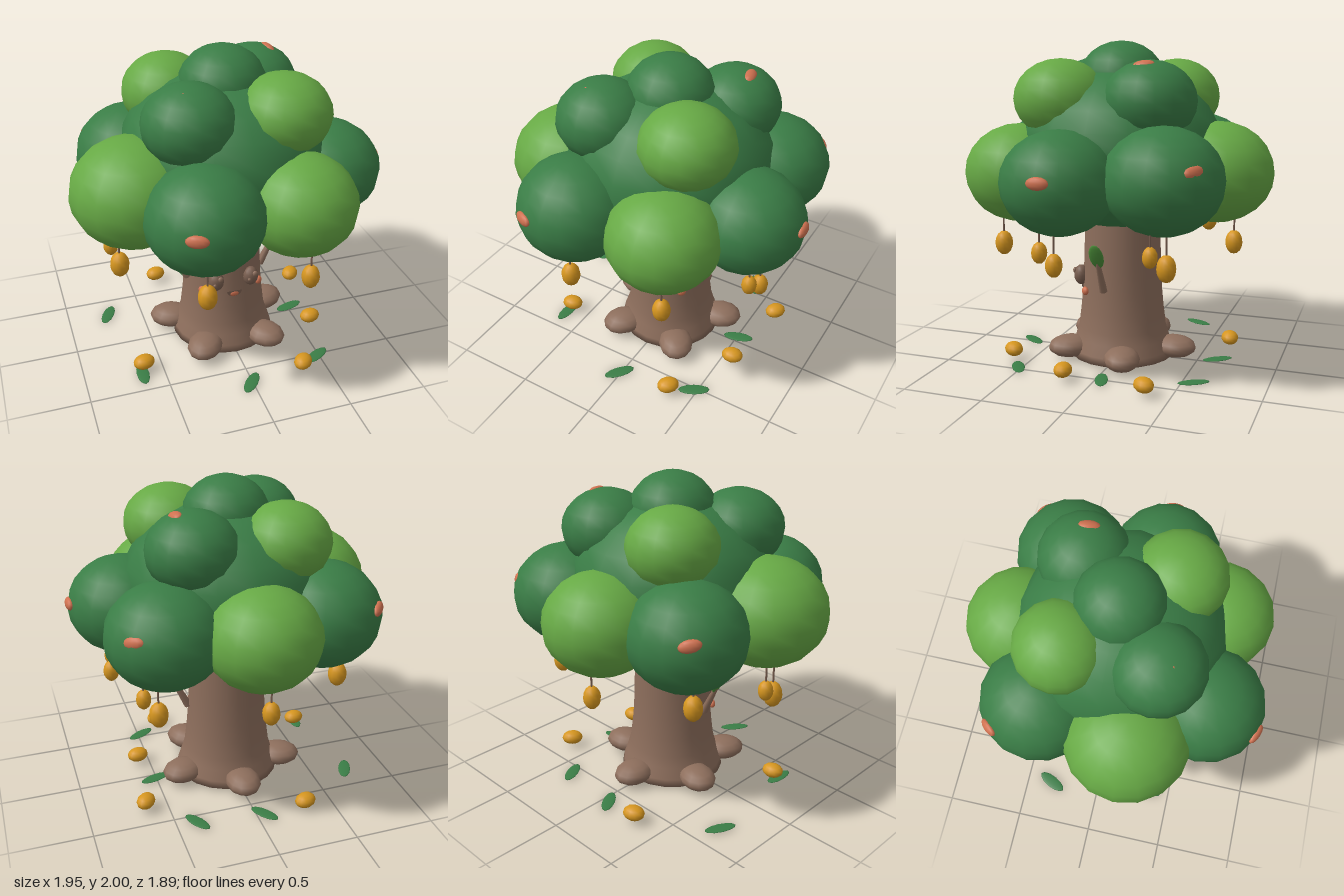
import * as THREE from 'three';

const paint = (name, color) => {
  const m = new THREE.MeshStandardMaterial({ color });
  m.name = name;
  return m;
};

export function createModel() {
  const tree = new THREE.Group();
  tree.name = 'tree';

  const bark = paint('bark brown', 0x8d6e5c);
  const darkBark = paint('dark bark', 0x7a5f50);
  const darkGreen = paint('dark foliage green', 0x3a7d46);
  const lightGreen = paint('light foliage green', 0x67a945);
  const leafGreen = paint('leaf green', 0x4c8f3a);
  const gold = paint('fruit gold', 0xd6961f);
  const coral = paint('coral', 0xcf7150);

  const blobGeo = new THREE.SphereGeometry(1, 16, 12);
  const smallGeo = new THREE.SphereGeometry(1, 12, 8);

  const add = (name, geo, mat, pos = [0, 0, 0], parent = tree) => {
    const mesh = new THREE.Mesh(geo, mat);
    mesh.name = name;
    mesh.position.set(...pos);
    parent.add(mesh);
    return mesh;
  };
  const ellipsoid = (name, mat, pos, size, geo = smallGeo, parent = tree) => {
    const mesh = add(name, geo, mat, pos, parent);
    mesh.scale.set(...size);
    return mesh;
  };
  // tapered rod between two points
  const rod = (name, mat, from, to, r0, r1) => {
    const a = new THREE.Vector3(...from), b = new THREE.Vector3(...to);
    const d = b.clone().sub(a);
    const mesh = add(name, new THREE.CylinderGeometry(r1, r0, d.length(), 8), mat,
      a.clone().add(b).multiplyScalar(0.5).toArray());
    mesh.quaternion.setFromUnitVectors(new THREE.Vector3(0, 1, 0), d.normalize());
    return mesh;
  };

  // trunk with flared foot
  const profile = [[0, 0.015], [0.335, 0.015], [0.325, 0.06], [0.3, 0.13], [0.28, 0.2],
    [0.265, 0.32], [0.253, 0.45], [0.247, 0.6], [0.242, 0.75], [0.238, 0.9], [0.235, 1.0]];
  const trunkGeo = new THREE.LatheGeometry(profile.map(p => new THREE.Vector2(...p)), 20);
  add('trunk', trunkGeo, bark);

  // five root knuckles
  for (let i = 0; i < 5; i++) {
    const a = THREE.MathUtils.degToRad(54 + 72 * i);
    const root = ellipsoid('root', bark, [0.35 * Math.cos(a), 0.08, 0.35 * Math.sin(a)], [0.14, 0.07, 0.112]);
    root.rotation.y = -a;
  }

  // face, mirrored
  for (const s of [-1, 1]) {
    ellipsoid('eye', darkBark, [s * 0.115, 0.53, 0.24], [0.05, 0.065, 0.045]);
    ellipsoid('eyeGlint', bark, [s * 0.115 + 0.018, 0.56, 0.275], [0.018, 0.02, 0.012]);
    ellipsoid('eyeSpot', bark, [s * 0.115 - 0.02, 0.525, 0.277], [0.011, 0.012, 0.01]);
    const cheek = ellipsoid('cheek', coral, [s * 0.19, 0.445, 0.185], [0.029, 0.027, 0.02]);
    cheek.rotation.y = s * 0.8;
  }
  const mouthGeo = new THREE.CylinderGeometry(0.05, 0.05, 0.008, 18, 1, false, -Math.PI / 2, Math.PI);
  mouthGeo.rotateX(Math.PI / 2);
  const mouth = ellipsoid('mouth', darkBark, [0, 0.45, 0.26], [1, 0.8, 1], mouthGeo);
  ellipsoid('tongue', coral, [0, 0.427, 0.262], [0.031, 0.017, 0.007]);
  mouth.updateMatrix();

  // side twigs, each with one leaf
  for (const s of [-1, 1]) {
    rod('twig', bark, [s * 0.25, 0.475, 0.04], [s * 0.35, 0.68, 0.04], 0.026, 0.015);
    const leaf = ellipsoid('twigLeaf', leafGreen, [s * 0.372, 0.72, 0.04], [0.014, 0.088, 0.047]);
    leaf.rotation.z = -s * 0.45;
  }

  // canopy: x, y, z, horizontal radius, vertical radius, material
  const canopy = [
    ['canopyCore', 0, 1.35, 0.01, 0.635, 0.51, darkGreen],
    ['canopyTop', 0, 1.77, 0.005, 0.265, 0.23, darkGreen],
    ['upperClump', 0.28, 1.655, 0.295, 0.285, 0.24, lightGreen],
    ['upperClump', -0.285, 1.655, 0.285, 0.28, 0.24, darkGreen],
    ['upperClump', 0.285, 1.65, -0.265, 0.28, 0.24, darkGreen],
    ['upperClump', -0.275, 1.65, -0.275, 0.275, 0.24, lightGreen],
    ['lowerClump', 0.615, 1.2, 0.17, 0.345, 0.305, darkGreen],
    ['lowerClump', 0.29, 1.2, 0.565, 0.342, 0.302, lightGreen],
    ['lowerClump', -0.29, 1.22, 0.595, 0.35, 0.315, darkGreen],
    ['lowerClump', -0.6, 1.23, 0.18, 0.38, 0.33, lightGreen],
    ['lowerClump', -0.485, 1.21, -0.375, 0.36, 0.325, darkGreen],
    ['lowerClump', -0.02, 1.215, -0.6, 0.35, 0.308, lightGreen],
    ['lowerClump', 0.495, 1.22, -0.41, 0.355, 0.312, darkGreen],
  ];
  for (const [name, x, y, z, r, h, mat] of canopy) ellipsoid(name, mat, [x, y, z], [r, h, r], blobGeo);

  // coral buds lying flat on the dark clumps: position, clump centre, twist
  const buds = [
    [[-0.425, 1.275, 0.905], [-0.29, 1.22, 0.595], 0],
    [[0.95, 1.245, 0.155], [0.615, 1.2, 0.17], 0],
    [[0.72, 1.31, -0.635], [0.495, 1.22, -0.41], 0.2],
    [[-0.73, 1.3, -0.61], [-0.485, 1.21, -0.375], 0.2],
    [[-0.355, 1.845, 0.37], [-0.285, 1.65, 0.285], 1.2],
    [[0.38, 1.86, -0.255], [0.285, 1.65, -0.265], 0.3],
  ];
  for (const [pos, centre, twist] of buds) {
    const bud = ellipsoid('bud', coral, pos, [0.066, 0.037, 0.025]);
    const p = new THREE.Vector3(...pos);
    bud.lookAt(p.clone().multiplyScalar(2).sub(new THREE.Vector3(...centre)));
    bud.rotateZ(twist);
  }

  // hanging fruit: x, y, z, size
  const hanging = [
    [-0.305, 0.75, 0.68, 1], [0.335, 0.755, 0.67, 0.95],
    [0.72, 0.742, 0.165, 0.87], [0.695, 0.803, 0.265, 0.8],
    [0.56, 0.735, -0.45, 1], [0.63, 0.81, -0.375, 0.78],
    [-0.585, 0.805, -0.425, 1], [-0.04, 0.78, -0.71, 0.92],
    [-0.705, 0.725, 0.15, 1.03], [-0.735, 0.8, 0.04, 0.8],
  ];
  for (const [x, y, z, k] of hanging) {
    ellipsoid('hangingFruit', gold, [x, y, z], [0.058 * k, 0.08 * k, 0.058 * k]);
    rod('fruitStem', darkBark, [x, y + 0.06 * k, z], [x, 1.03, z], 0.006, 0.006);
  }

  // fallen fruit: x, z, yaw
  const fallen = [[0.575, 0.18, 0.2], [0.345, 0.615, 0.8], [0.64, -0.345, 0.9], [-0.62, 0.31, 0.2], [-0.31, -0.645, 0.3]];
  for (const [x, z, yaw] of fallen) {
    ellipsoid('fallenFruit', gold, [x, 0.066, z], [0.07, 0.045, 0.056]).rotation.y = yaw;
  }

  // fallen leaves: x, z, yaw in degrees
  const leaves = [[-0.73, -0.33, 64], [-0.64, 0.35, 88], [-0.05, -0.62, -55], [0.37, -0.57, -60],
    [0.51, -0.04, 17], [-0.01, 0.64, 52], [0.48, 0.52, 30]];
  for (const [x, z, yaw] of leaves) {
    const leaf = ellipsoid('fallenLeaf', darkGreen, [x, 0.006, z], [0.1, 0.006, 0.04]);
    leaf.rotation.y = THREE.MathUtils.degToRad(yaw);
  }

  return tree;
}
